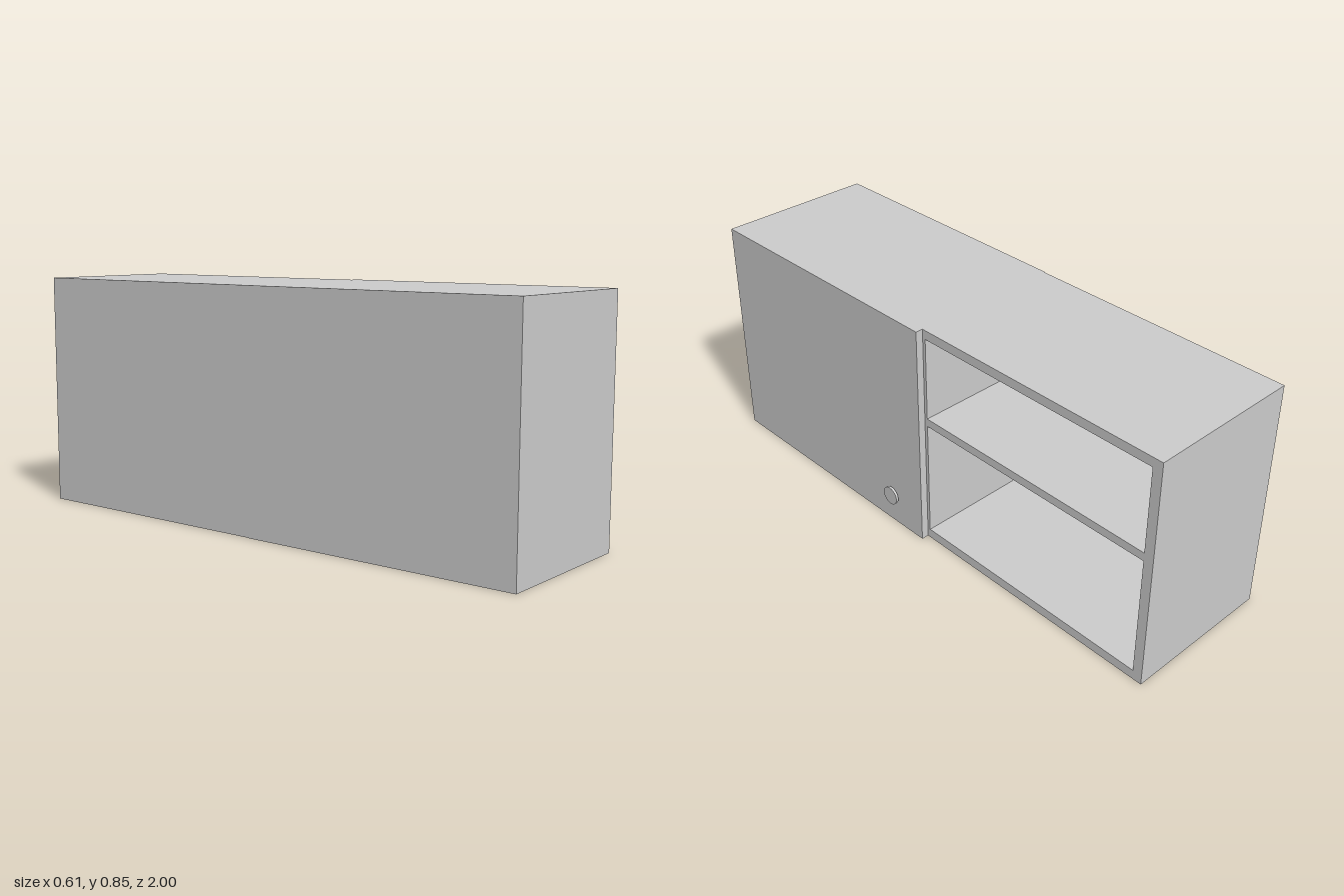
import * as THREE from 'three';

const material = new THREE.MeshStandardMaterial({ color: 0xcccccc });
const HEIGHT = 0.845;
const SPLIT = -0.02; // z where the closed half meets the open half

function add(group, name, geometry) {
  const mesh = new THREE.Mesh(geometry, material);
  mesh.name = name;
  group.add(mesh);
  return mesh;
}

// Box given by its lower and upper corners
function box(x0, x1, y0, y1, z0, z1) {
  return new THREE.BoxGeometry(x1 - x0, y1 - y0, z1 - z0)
    .translate((x0 + x1) / 2, (y0 + y1) / 2, (z0 + z1) / 2);
}

// Counter-clockwise or clockwise rectangle for outlines and holes
function rectangle(path, a0, a1, b0, b1) {
  path.moveTo(a0, b0);
  path.lineTo(a1, b0);
  path.lineTo(a1, b1);
  path.lineTo(a0, b1);
  path.closePath();
  return path;
}

export function createModel() {
  const group = new THREE.Group();
  group.name = 'cabinet';

  // Closed half, slightly deeper than the open shelves
  add(group, 'closedCupboard', box(-0.305, 0.282, 0, HEIGHT, SPLIT, 1));

  // Open half: frame with two compartments, drawn in (-z, y) and extruded along x
  const frame = rectangle(new THREE.Shape(), -SPLIT, 1, 0, HEIGHT);
  for (const [y0, y1] of [[0.035, 0.476], [0.506, 0.812]]) {
    frame.holes.push(rectangle(new THREE.Path(), 0.032, 0.965, y0, y1));
  }
  const shelves = new THREE.ExtrudeGeometry(frame, { depth: 0.553, bevelEnabled: false })
    .rotateY(Math.PI / 2)
    .translate(-0.298, 0, 0);
  add(group, 'openShelves', shelves);

  // Thin panel closing the back of the shelves
  add(group, 'backPanel', box(-0.302, -0.298, 0, HEIGHT, -1, SPLIT));

  // Round door knob: stem and disc
  const knob = new THREE.Group();
  knob.name = 'doorKnob';
  knob.position.set(0.282, 0.121, 0.125);
  const turned = (radius, length, x) =>
    new THREE.CylinderGeometry(radius, radius, length, 32)
      .rotateZ(-Math.PI / 2)
      .translate(x + length / 2, 0, 0);
  add(knob, 'knobStem', turned(0.015, 0.012, 0));
  add(knob, 'knobDisc', turned(0.034, 0.009, 0.011));
  group.add(knob);

  return group;
}
